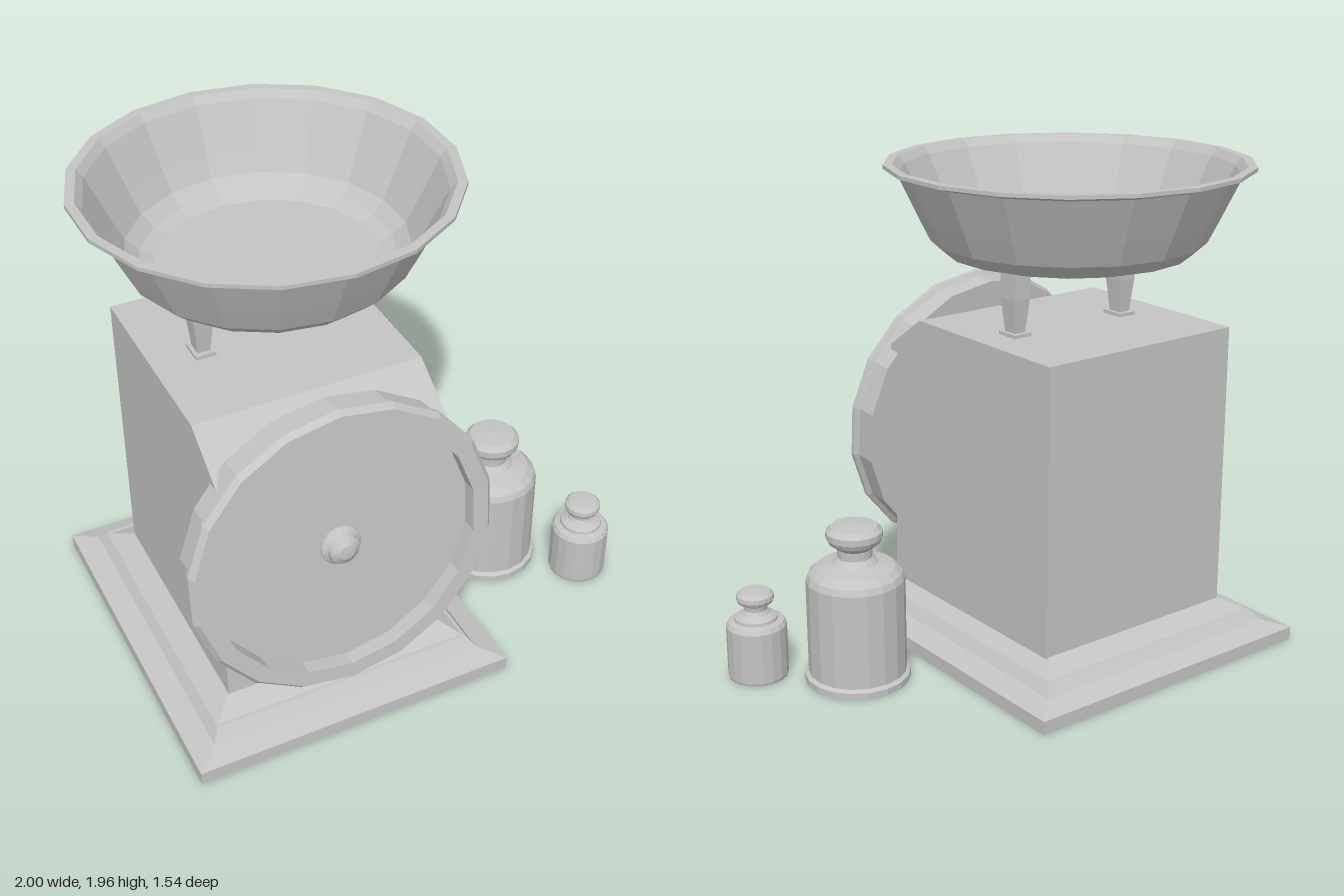
import * as THREE from 'three';

const grey = new THREE.MeshStandardMaterial({ color: 0xc4c4c4, flatShading: true });
grey.name = 'grey metal';

function add(parent, name, geometry, x = 0, y = 0, z = 0) {
  const mesh = new THREE.Mesh(geometry, grey);
  mesh.name = name;
  mesh.position.set(x, y, z);
  parent.add(mesh);
  return mesh;
}

// Surface of revolution from [radius, height] pairs
function lathe(profile, sides = 18) {
  return new THREE.LatheGeometry(profile.map(([r, h]) => new THREE.Vector2(r, h)), sides);
}

// Box whose top has other half sizes than its bottom, from y0 to y1
function frustum([bx, bz], [tx, tz], y0, y1) {
  const g = new THREE.BoxGeometry(2, 1, 2);
  const p = g.attributes.position;
  for (let i = 0; i < p.count; i++) {
    const top = p.getY(i) > 0;
    p.setXYZ(i, p.getX(i) * (top ? tx : bx), top ? y1 : y0, p.getZ(i) * (top ? tz : bz));
  }
  g.computeVertexNormals();
  return g;
}

export function createModel() {
  const model = new THREE.Group();
  model.name = 'kitchenScale';

  // Stepped base
  const steps = [
    [[0.65, 0.725], [0.65, 0.725], 0, 0.055],
    [[0.65, 0.725], [0.56, 0.64], 0.055, 0.083],
    [[0.56, 0.64], [0.53, 0.605], 0.083, 0.125],
    [[0.52, 0.59], [0.45, 0.505], 0.125, 0.166],
  ];
  const base = new THREE.Group();
  base.name = 'base';
  base.position.set(-0.35, 0, 0.045);
  model.add(base);
  steps.forEach((s, i) => add(base, `baseStep${i + 1}`, frustum(...s)));

  // Housing: side outline (z, y) extruded across the width
  const side = new THREE.Shape([
    [-0.46, 0.15], [0.55, 0.15], [0.505, 1.14], [0.555, 1.155],
    [0.555, 1.175], [0.35, 1.315], [-0.46, 1.315],
  ].map(([z, y]) => new THREE.Vector2(z, y)));
  const housing = new THREE.ExtrudeGeometry(side, { depth: 0.9, bevelEnabled: false });
  housing.rotateY(-Math.PI / 2);
  add(model, 'housing', housing, 0.11);

  // Tilted dial: drum with bezel and recessed face, plus centre knob
  const dial = new THREE.Group();
  dial.name = 'dial';
  dial.position.set(-0.35, 0.795, 0.533);
  dial.rotation.x = -0.08;
  model.add(dial);
  const drum = lathe([
    [0, 0], [0.588, 0], [0.588, 0.09], [0.607, 0.103], [0.607, 0.12],
    [0.588, 0.142], [0.525, 0.142], [0.525, 0.08], [0, 0.08],
  ]);
  add(dial, 'drum', drum.rotateX(Math.PI / 2));
  const knob = lathe([
    [0.08, 0.08], [0.08, 0.09], [0.062, 0.103], [0.058, 0.122], [0.03, 0.139], [0, 0.142],
  ]);
  add(dial, 'dialKnob', knob.rotateX(Math.PI / 2));

  // Two tapered posts on foot plates
  for (const x of [-0.59, -0.06]) {
    const post = new THREE.Group();
    post.name = 'post';
    post.position.set(x, 0, -0.043);
    model.add(post);
    add(post, 'footPlate', new THREE.BoxGeometry(0.08, 0.014, 0.1), 0, 1.322, 0);
    add(post, 'postLower', frustum([0.025, 0.03], [0.037, 0.043], 1.328, 1.46));
    add(post, 'postUpper', frustum([0.037, 0.043], [0.037, 0.046], 1.46, 1.615));
  }

  // Open bowl with outer wall, rim and inner wall
  add(model, 'bowl', lathe([
    [0, 1.6], [0.4, 1.6], [0.475, 1.62], [0.53, 1.67], [0.572, 1.755], [0.655, 1.93],
    [0.685, 1.94], [0.705, 1.945], [0.705, 1.96], [0.67, 1.96], [0.645, 1.93],
    [0.562, 1.76], [0.52, 1.68], [0.47, 1.635], [0.42, 1.615], [0, 1.615],
  ]), -0.3, 0, -0.065);

  // Loose weights
  add(model, 'largeWeight', lathe([
    [0, 0], [0.207, 0], [0.207, 0.027], [0.192, 0.037], [0.192, 0.42], [0.182, 0.445],
    [0.155, 0.47], [0.09, 0.485], [0.067, 0.51], [0.067, 0.545], [0.1, 0.57],
    [0.11, 0.59], [0.11, 0.615], [0.09, 0.635], [0, 0.643],
  ]), 0.58, 0, 0.13);
  add(model, 'smallWeight', lathe([
    [0, 0], [0.115, 0], [0.118, 0.01], [0.118, 0.215], [0.108, 0.232], [0.085, 0.238],
    [0.083, 0.25], [0.055, 0.265], [0.045, 0.28], [0.047, 0.3], [0.068, 0.312],
    [0.074, 0.325], [0.072, 0.342], [0.058, 0.355], [0, 0.358],
  ]), 0.88, 0, 0.385);

  return model;
}
